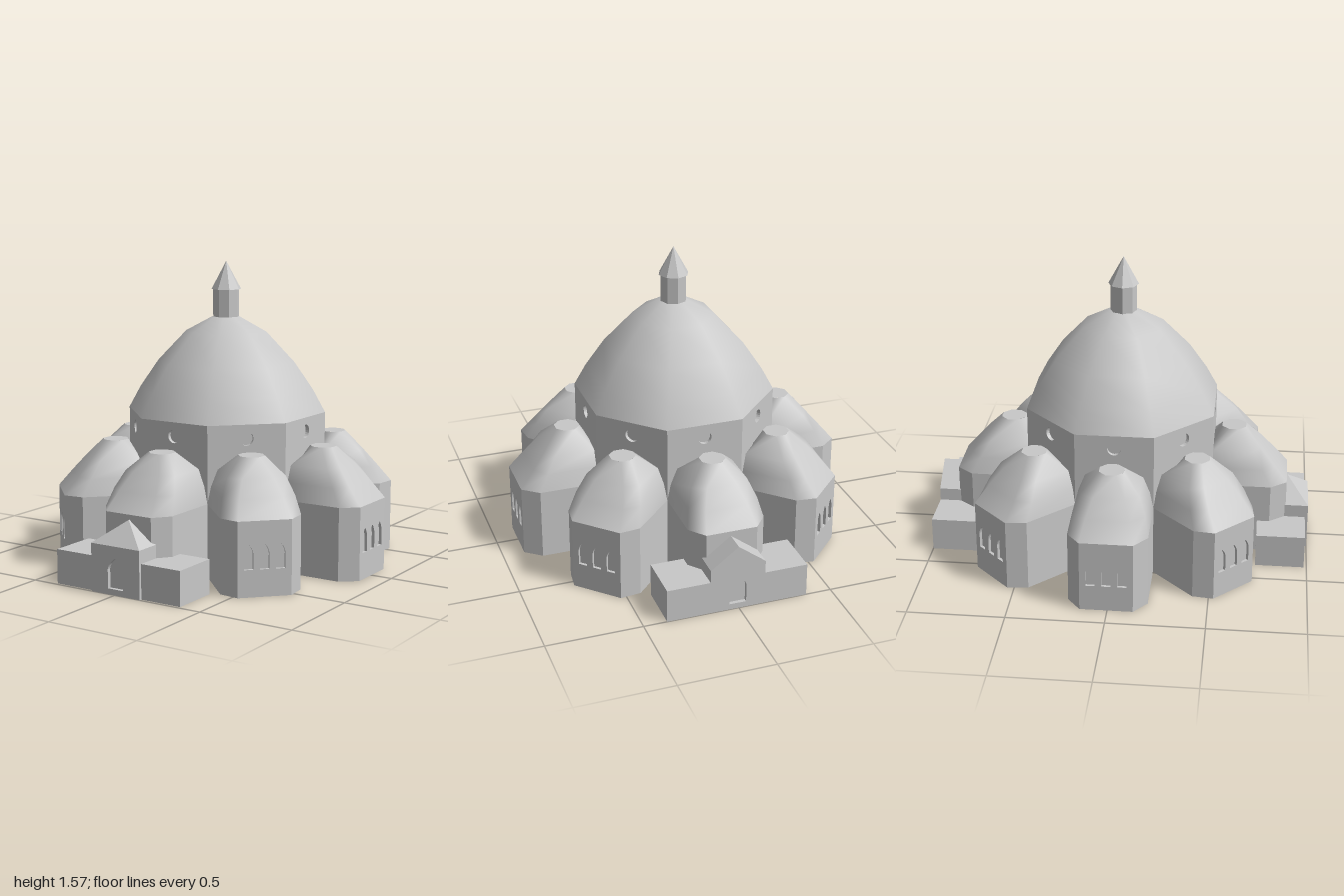
import * as THREE from 'three';

const stone = new THREE.MeshStandardMaterial({ color: 0xc8c8c8 });
stone.name = 'pale stone';

const APOTHEM = 0.49, C = Math.cos(Math.PI / 8);
const HALF = APOTHEM * Math.tan(Math.PI / 8);

function add(parent, name, geometry, x = 0, y = 0, z = 0) {
  const m = new THREE.Mesh(geometry, stone);
  m.name = name;
  m.position.set(x, y, z);
  parent.add(m);
  return m;
}

function box(parent, name, x0, x1, y0, y1, z0, z1) {
  return add(parent, name, new THREE.BoxGeometry(x1 - x0, y1 - y0, z1 - z0),
    (x0 + x1) / 2, (y0 + y1) / 2, (z0 + z1) / 2);
}

function flat(geometry) {
  const g = geometry.index ? geometry.toNonIndexed() : geometry;
  g.computeVertexNormals();
  return g;
}

const polygon = pts => new THREE.Shape(pts.map(p => new THREE.Vector2(...p)));
const extrude = (shape, depth) =>
  new THREE.ExtrudeGeometry(shape, { depth, bevelEnabled: false, curveSegments: 10 });

// Pointed arch opening
function arch(x, y, w, h) {
  const p = new THREE.Path(), s = y + h * 0.62;
  p.moveTo(x - w, y);
  p.lineTo(x + w, y);
  p.lineTo(x + w, s);
  p.quadraticCurveTo(x + w * 0.85, y + h * 0.83, x, y + h);
  p.quadraticCurveTo(x - w * 0.85, y + h * 0.83, x - w, s);
  p.closePath();
  return p;
}

// Chapel roof: octagonal cross-sections lofted to a small flat cap
function chapelRoof() {
  const levels = [
    [0.38, [[0.135, 0.885], [0.203, 0.8], [0.203, 0.47], [0.1, 0.47]]],
    [0.47, [[0.112, 0.81], [0.184, 0.752], [0.184, 0.47], [0.09, 0.47]]],
    [0.555, [[0.08, 0.738], [0.15, 0.7], [0.15, 0.49], [0.06, 0.48]]],
    [0.645, [[0.026, 0.658], [0.063, 0.621], [0.063, 0.569], [0.026, 0.532]]],
  ];
  const pos = [], index = [];
  for (const [y, half] of levels) {
    const ring = [...half, ...half.slice().reverse().map(([x, z]) => [-x, z])];
    for (const [x, z] of ring) pos.push(x, y, z);
  }
  for (let l = 0; l < levels.length - 1; l++) {
    for (let k = 0; k < 8; k++) {
      const a = l * 8 + k, b = l * 8 + (k + 1) % 8;
      index.push(a, b, b + 8, a, b + 8, a + 8);
    }
  }
  const g = new THREE.BufferGeometry();
  g.setAttribute('position', new THREE.Float32BufferAttribute(pos, 3));
  g.setIndex(index);
  g.computeVertexNormals();
  return g;
}

// Chapel walls, with a shallow notch at the end that holds the window panel
function chapel(hasWindows) {
  const g = new THREE.Group();
  g.name = 'chapel';
  const plan = polygon([[0.203, 0.45], [0.203, 0.8], [0.135, 0.885], [0.135, 0.87],
    [-0.135, 0.87], [-0.135, 0.885], [-0.203, 0.8], [-0.203, 0.45]]);
  add(g, 'chapelWalls', extrude(plan, 0.38).rotateX(Math.PI / 2), 0, 0.38, 0);
  const panel = polygon([[-0.135, 0], [0.135, 0], [0.135, 0.38], [-0.135, 0.38]]);
  if (hasWindows) for (const x of [-0.08, 0, 0.08]) panel.holes.push(arch(x, 0.138, 0.023, 0.127));
  add(g, 'chapelEndWall', extrude(panel, 0.015), 0, 0, 0.87);
  add(g, 'chapelRoof', chapelRoof());
  add(g, 'chapelRoofCap',
    new THREE.CircleGeometry(0.068, 8, Math.PI / 8).rotateX(-Math.PI / 2), 0, 0.645, 0.595);
  return g;
}

// Entrance porch facing +z, with low wings; hipped or gabled roof
function porch(hipped) {
  const g = new THREE.Group();
  g.name = hipped ? 'frontPorch' : 'backPorch';
  const w = 0.145, eave = 0.245, ridge = 0.355, front = 1;
  const wingEnd = hipped ? 0.985 : 1;
  for (const s of [-1, 1]) {
    const x = [s * 0.12, s * 0.372].sort((a, b) => a - b);
    box(g, 'porchWing', x[0], x[1], 0, 0.177, wingEnd - 0.255, wingEnd);
  }
  box(g, 'porchBody', -w, w, 0, eave, 0.78, front - 0.02);
  const wall = polygon([[-w, 0], [w, 0], [w, eave], [-w, eave]]);
  wall.holes.push(arch(0, 0.03, 0.045, 0.155));
  add(g, 'porchDoorWall', extrude(wall, 0.02), 0, 0, front - 0.02);
  const roof = extrude(polygon([[-w, 0], [w, 0], [0, ridge - eave]]), 0.22);
  if (hipped) {
    const p = roof.attributes.position;
    for (let i = 0; i < p.count; i++)
      if (p.getY(i) > 0.01 && p.getZ(i) > 0.1) p.setZ(i, p.getZ(i) - 0.115);
  }
  add(g, 'porchRoof', flat(roof), 0, eave, front - 0.22);
  return g;
}

export function createModel() {
  const model = new THREE.Group();
  model.name = 'domedChurch';
  const church = new THREE.Group();
  church.name = 'church';
  church.position.z = -0.005;
  model.add(church);

  // Octagonal core and drum walls with round windows
  const coreR = (APOTHEM - 0.02) / C;
  add(church, 'core', flat(new THREE.CylinderGeometry(coreR, coreR, 0.78, 8, 1, false, Math.PI / 8)), 0, 0.39, 0);
  const drum = polygon([[-HALF, 0], [HALF, 0], [HALF, 0.78], [-HALF, 0.78]]);
  drum.holes.push(new THREE.Path().absarc(0, 0.707, 0.035, 0, Math.PI * 2));
  const drumGeometry = extrude(drum, 0.02).translate(0, 0, APOTHEM - 0.02);
  for (let i = 0; i < 8; i++) {
    const turn = i * Math.PI / 4;
    add(church, 'drumWall', drumGeometry).rotation.y = turn;
    const c = chapel(i % 4 !== 0);
    c.rotation.y = turn;
    church.add(c);
  }

  // Main dome
  const profile = [[0.49, 0.78], [0.432, 0.895], [0.34, 1.04], [0.2, 1.2], [0.068, 1.278], [0, 1.282]]
    .map(([r, y]) => new THREE.Vector2(r / C, y));
  add(church, 'dome', new THREE.LatheGeometry(profile, 8, Math.PI / 8));

  // Lantern and its pointed roof
  add(church, 'lantern', flat(new THREE.CylinderGeometry(0.07, 0.07, 0.16, 8)), 0, 1.345, 0);
  add(church, 'lanternRoof', flat(new THREE.ConeGeometry(0.08, 0.147, 8)), 0, 1.4965, 0);

  // Porches
  const front = porch(true), back = porch(false);
  back.rotation.y = Math.PI;
  for (const p of [front, back]) {
    p.position.x = 0.006;
    model.add(p);
  }
  return model;
}
